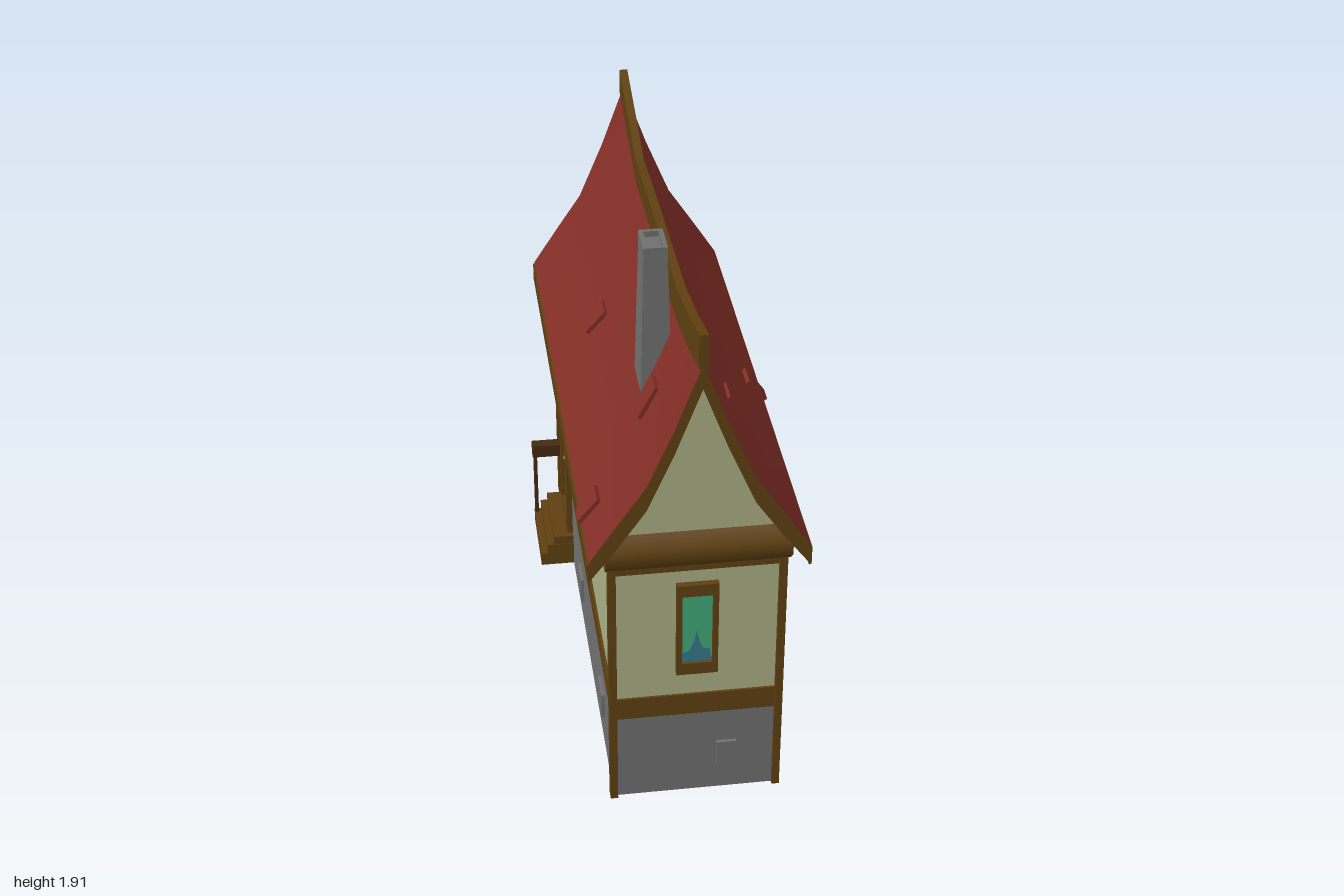
import * as THREE from 'three';

const mat = (name, color, side = THREE.FrontSide) => {
  const m = new THREE.MeshStandardMaterial({ color, side });
  m.name = name;
  return m;
};

export function createModel() {
  const house = new THREE.Group();
  house.name = 'house';
  const plaster = mat('plaster', 0xabb186);
  const wood = mat('wood', 0x5f4010, THREE.DoubleSide);
  const darkWood = mat('darkWood', 0x452a12);
  const doorWood = mat('doorWood', 0x6b4a18);
  const tileRed = mat('tileRed', 0x822e26, THREE.DoubleSide);
  const stone = mat('stone', 0x707070);
  const glassGreen = mat('glassGreen', 0x41a878);
  const glassBlue = mat('glassBlue', 0x33788a);

  const CX = 0.025; // centre line of the building
  const HX = 0.28, HZ = 0.935; // wall half sizes

  const add = (name, geo, material, parent = house) => {
    const m = new THREE.Mesh(geo, material);
    m.name = name;
    parent.add(m);
    return m;
  };
  // box given by its limits
  const box = (name, material, x0, x1, y0, y1, z0, z1, parent = house) => {
    const m = add(name, new THREE.BoxGeometry(x1 - x0, y1 - y0, z1 - z0), material, parent);
    m.position.set((x0 + x1) / 2, (y0 + y1) / 2, (z0 + z1) / 2);
    return m;
  };
  const polygon = (pts) => new THREE.Shape(pts.map(([x, y]) => new THREE.Vector2(x, y)));
  const extrude = (shape, depth) => new THREE.ExtrudeGeometry(shape, { depth, bevelEnabled: false });
  const rect = (w, h) => [[-w / 2, -h / 2], [w / 2, -h / 2], [w / 2, h / 2], [-w / 2, h / 2]];
  // rectangular plate with a rectangular opening
  const frame = (w, h, iw, ih, depth) => {
    const s = polygon(rect(w, h));
    s.holes.push(polygon(rect(iw, ih).reverse()));
    return extrude(s, depth);
  };

  // Walls: open rings stacked from the ground up
  const ring = (name, material, y0, y1, out) => {
    const w = 2 * (HX + out), d = 2 * (HZ + out);
    const m = add(name, frame(w, d, 2 * HX - 0.02, 2 * HZ - 0.02, y1 - y0).rotateX(-Math.PI / 2), material);
    m.position.set(CX, y0, 0);
  };
  ring('stoneBase', stone, 0, 0.36, 0.003);
  ring('plasterWall', plaster, 0.36, 1.09, 0);
  ring('wallBand', wood, 0.347, 0.432, 0.008);
  ring('eaveBand', wood, 0.955, 0.99, 0.008);

  // Corner posts and rounded gable beams
  for (const s of [-1, 1]) {
    for (const t of [-1, 1]) {
      const x = CX + s * 0.283, z = t * 0.933;
      box('cornerPost', wood, x - 0.013, x + 0.013, 0, 1.0, z - 0.02, z + 0.02);
    }
    const beam = add('gableBeam', new THREE.CylinderGeometry(0.07, 0.07, 0.61, 8, 1)
      .rotateY(Math.PI / 8).rotateZ(Math.PI / 2), wood);
    beam.position.set(CX, 1.045, s * 0.92);
  }

  // Roof: sagging ridge with flared eaves, [z, ridge height, ridge beam height]
  const stations = [[-1, 1.79, 0.07], [-0.78, 1.728, 0.07], [-0.52, 1.65, 0.07], [0, 1.675, 0.075],
    [0.53, 1.672, 0.1], [0.78, 1.72, 0.1], [1, 1.775, 0.1]];
  const profile = [[0.36, 0], [0.27, 0.19], [0.175, 0.385], [0.085, 0.68], [0, 1]];
  const EAVE = 1.06;
  const ridgeAt = (z) => {
    let i = 0;
    while (i < stations.length - 2 && stations[i + 1][0] < z) i++;
    const [a, b] = [stations[i], stations[i + 1]];
    return THREE.MathUtils.mapLinear(z, a[0], b[0], a[1], b[1]);
  };
  const roofLine = (z, drop = 0) => profile.map(([dx, f], i) =>
    [dx, EAVE + f * (ridgeAt(z) - EAVE) - (i ? drop : drop * 0.83)]);
  // surface through rows of points
  const grid = (rows) => {
    const n = rows[0].length, idx = [];
    for (let i = 0; i < rows.length - 1; i++) {
      for (let j = 0; j < n - 1; j++) {
        const a = i * n + j, b = a + n;
        idx.push(a, b, a + 1, b, b + 1, a + 1);
      }
    }
    const g = new THREE.BufferGeometry();
    g.setAttribute('position', new THREE.Float32BufferAttribute(rows.flat(2), 3));
    g.setIndex(idx);
    g.computeVertexNormals();
    return g;
  };
  const THICK = 0.09;
  for (const s of [-1, 1]) {
    const line = (z, drop) => {
      const p = roofLine(z, drop).map(([dx, y]) => [CX + s * dx, y, z]);
      return s > 0 ? p : p.reverse();
    };
    const zs = stations.map((st) => st[0]).reverse();
    add('roofSlope', grid([...zs].reverse().map((z) => line(z, 0)).reverse()), tileRed);
    add('roofUnderside', grid([...zs].reverse().map((z) => line(z, THICK))), wood);
    for (const z of [-1, 1]) {
      const rows = [line(z, THICK), line(z, 0)];
      add('vergeBoard', grid(z > 0 ? rows.reverse() : rows), wood);
    }
    const x = CX + s * 0.36;
    box('eaveBoard', wood, x - 0.006, x + 0.003, EAVE - 0.075, EAVE - 0.006, -1, 1);
  }

  // Ridge beam follows the sag
  const ridgeShape = polygon([
    ...stations.map(([z, y]) => [z, y - 0.02]),
    ...[...stations].reverse().map(([z, y, h]) => [z, y + h]),
  ]);
  const ridge = add('ridgeBeam', extrude(ridgeShape, 0.03).rotateY(-Math.PI / 2), wood);
  ridge.position.x = CX + 0.015;

  // Gable walls fill the ends under the roof
  for (const s of [-1, 1]) {
    const pts = roofLine(s * HZ, 0.05).slice(1).map(([dx, y]) => [dx, y]);
    const outline = [[0.27, 1.03], ...pts, ...pts.slice(0, -1).reverse().map(([x, y]) => [-x, y]), [-0.27, 1.03]];
    const g = add('gableWall', extrude(polygon(outline), 0.02), plaster);
    g.position.set(CX, 0, s * 0.925 - 0.01);
  }

  // Loose raised roof tiles: side, offset from ridge, z, width, length
  const tiles = [[1, 0.115, 0.135, 0.085, 0.14], [1, 0.198, 0.44, 0.095, 0.11], [1, 0.325, 0.1, 0.09, 0.11],
    [-1, 0.2, -0.18, 0.09, 0.11], [-1, 0.118, 0.62, 0.085, 0.13], [-1, 0.33, 0.745, 0.09, 0.11]];
  for (const [s, dx, z, w, h] of tiles) {
    const pts = roofLine(z);
    const i = pts.findIndex((p, k) => k > 0 && p[0] <= dx);
    const [[x0, y0], [x1, y1]] = [pts[i - 1], pts[i]];
    const up = new THREE.Vector3(-s * (x0 - x1), y1 - y0, 0).normalize();
    const out = new THREE.Vector3(s * up.y, Math.abs(up.x), 0);
    const across = new THREE.Vector3().crossVectors(up, out);
    const shape = polygon([[-w * 0.36, -h / 2], [w * 0.36, -h / 2], [w / 2, h / 2], [-w / 2, h / 2]]);
    const t = add('raisedTile', extrude(shape, 0.03), tileRed);
    t.quaternion.setFromRotationMatrix(new THREE.Matrix4().makeBasis(across, up, out));
    t.position.set(CX + s * dx, THREE.MathUtils.mapLinear(dx, x0, x1, y0, y1), z).addScaledVector(out, -0.015);
  }

  // Tapered chimney with a shallow rimmed top
  const flue = new THREE.BoxGeometry(0.106, 0.56, 0.16);
  const fp = flue.attributes.position;
  for (let i = 0; i < fp.count; i++) {
    if (fp.getY(i) > 0) fp.setXYZ(i, fp.getX(i) * 0.74, fp.getY(i), fp.getZ(i) * 0.8);
  }
  flue.computeVertexNormals();
  add('chimney', flue, stone).position.set(-0.055, 1.61, 0.44);
  add('chimneyRim', frame(0.08, 0.13, 0.05, 0.1, 0.02).rotateX(-Math.PI / 2), stone).position.set(-0.055, 1.89, 0.44);

  // Wall-mounted things are built facing +z, then turned to their wall
  const mount = (g, wall, along, y) => {
    if (wall === 'front') g.position.set(along, y, HZ);
    else {
      const s = wall === 'left' ? 1 : -1;
      g.position.set(CX + s * HX, y, along);
      g.rotation.y = s * Math.PI / 2;
    }
    house.add(g);
  };

  // Windows with a blue spire in green glass: wall, position, width, spire height
  const windows = [['front', 0.025, 0.14, 0.13], ['left', 0.59, 0.232, 0.22],
    ['left', -0.52, 0.232, 0.22], ['right', 0.18, 0.24, 0.22]];
  for (const [wall, along, w, peak] of windows) {
    const g = new THREE.Group();
    g.name = 'window';
    const iw = w - (w < 0.2 ? 0.038 : 0.066), ih = 0.28;
    add('windowFrame', frame(w, 0.372, iw, ih, 0.032), wood, g).position.z = -0.01;
    box('windowGlass', glassGreen, -iw / 2, iw / 2, -ih / 2, ih / 2, 0, 0.008, g);
    const k = iw / 2;
    const spire = polygon([[-k, 0], [k, 0], [k * 0.85, 0.05], [k * 0.45, peak * 0.4], [k * 0.2, peak * 0.6],
      [0, peak], [-k * 0.2, peak * 0.65], [-k * 0.5, peak * 0.35], [-k, 0.04]]);
    add('glassSpire', extrude(spire, 0.004), glassBlue, g).position.set(0, -ih / 2, 0.007);
    mount(g, wall, along, wall === 'front' ? 0.717 : 0.705);
  }

  // Protruding base stones
  const blocks = [['front', 0.132, 0.152, 0.068, 0.118], ['left', 0.525, 0.155, 0.13, 0.105],
    ['left', -0.285, 0.175, 0.1, 0.1], ['right', -0.07, 0.165, 0.11, 0.1], ['right', 0.62, 0.18, 0.11, 0.1]];
  for (const [wall, along, y, w, h] of blocks) {
    const g = new THREE.Group();
    g.name = 'baseStone';
    box('stoneBlock', stone, -w / 2, w / 2, -h / 2, h / 2, -0.02, 0.015, g);
    mount(g, wall, along, y);
  }

  // Door with frame, small pane and knob
  const door = new THREE.Group();
  door.name = 'door';
  add('doorFrame', frame(0.25, 0.68, 0.17, 0.6, 0.035), wood, door).position.z = -0.01;
  box('doorPanel', doorWood, -0.085, 0.085, -0.3, 0.3, -0.005, 0.012, door);
  box('doorPane', stone, -0.06, 0.06, 0.15, 0.2, 0.01, 0.017, door);
  add('doorKnob', new THREE.SphereGeometry(0.011, 10, 8), stone, door).position.set(0.05, -0.03, 0.018);
  mount(door, 'right', -0.57, 0.47);

  // Porch steps descending outward, and the rail beside them
  [[-0.335, 0.13], [-0.362, 0.095], [-0.388, 0.055]].forEach(([x, h]) =>
    box('porchStep', wood, x, -0.25, 0, h, -0.735 + (h < 0.13 ? 0 : 0.002), -0.42 - (h > 0.1 ? 0.002 : 0)));
  box('railBeam', darkWood, -0.39, -0.25, 0.33, 0.382, -0.745, -0.7);
  box('railPost', darkWood, -0.386, -0.372, 0, 0.335, -0.735, -0.71);
  box('railPost', darkWood, -0.275, -0.26, 0.1, 0.335, -0.735, -0.71);

  return house;
}
